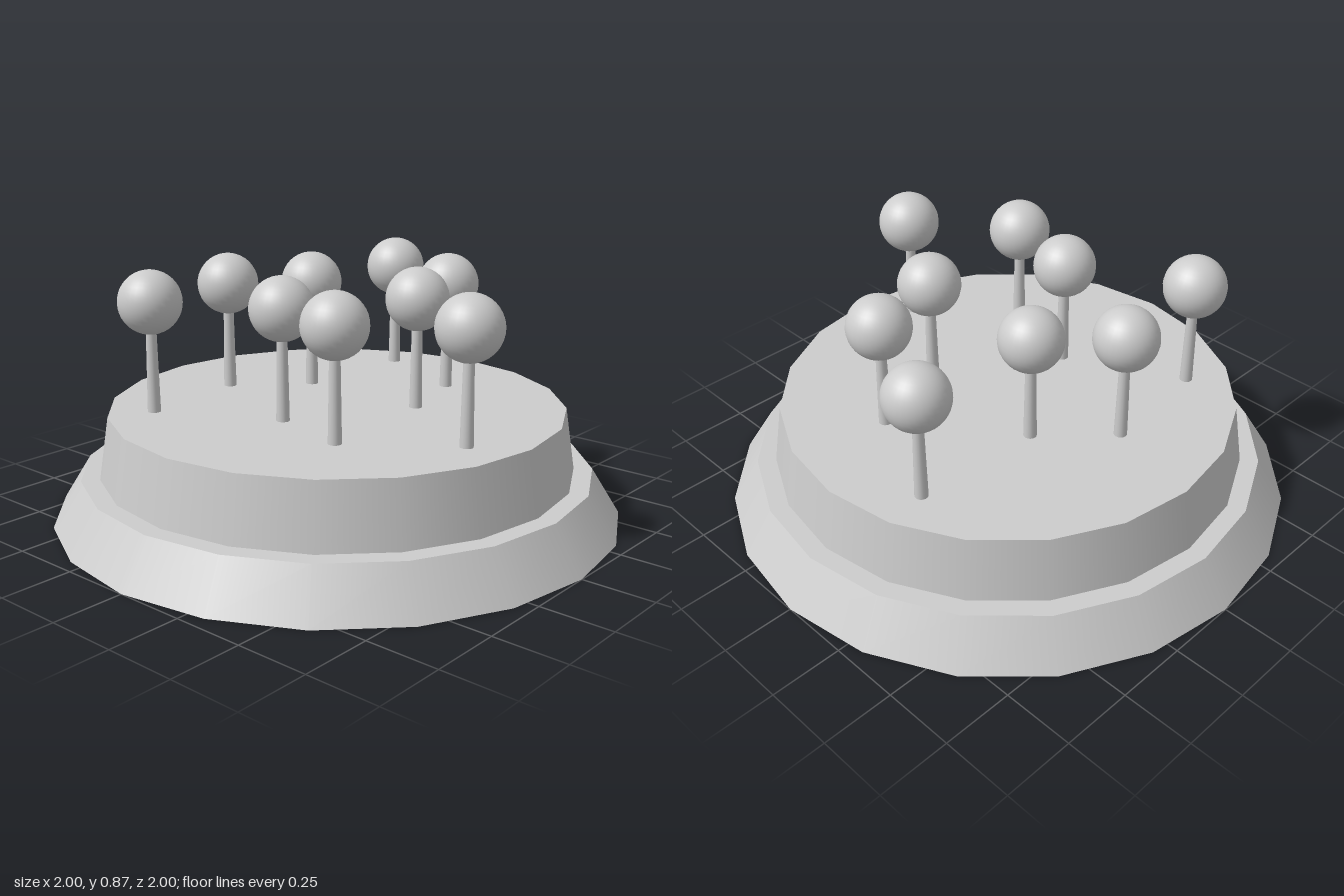
import * as THREE from 'three';

export function createModel() {
  const model = new THREE.Group();
  const grey = new THREE.MeshStandardMaterial({ color: 0xcccccc });
  grey.name = 'light grey';

  function add(parent, name, geometry, y) {
    const mesh = new THREE.Mesh(geometry, grey);
    mesh.name = name;
    mesh.position.y = y;
    parent.add(mesh);
  }

  // Tapered disc standing between two heights
  function tier(name, topRadius, bottomRadius, y0, y1) {
    add(model, name, new THREE.CylinderGeometry(topRadius, bottomRadius, y1 - y0, 20), (y0 + y1) / 2);
  }

  // Two-step base
  tier('lowerBase', 0.9, 1, 0, 0.16);
  tier('upperBase', 0.8, 0.835, 0.16, 0.38);

  // Ball-headed pins: x, z on the base
  const pins = [
    [-0.22, -0.605], [0.155, -0.435], [-0.245, -0.14],
    [0.24, -0.14], [-0.455, 0.08], [0.63, 0.11],
    [0, 0.28], [0.295, 0.355], [-0.41, 0.49],
  ];
  const stem = new THREE.CylinderGeometry(0.017, 0.023, 0.36, 16);
  const ball = new THREE.SphereGeometry(0.11, 32, 20);
  for (const [x, z] of pins) {
    const pin = new THREE.Group();
    pin.name = 'pin';
    pin.position.set(x, 0, z);
    add(pin, 'pinStem', stem, 0.55);
    add(pin, 'pinBall', ball, 0.763);
    model.add(pin);
  }
  return model;
}
